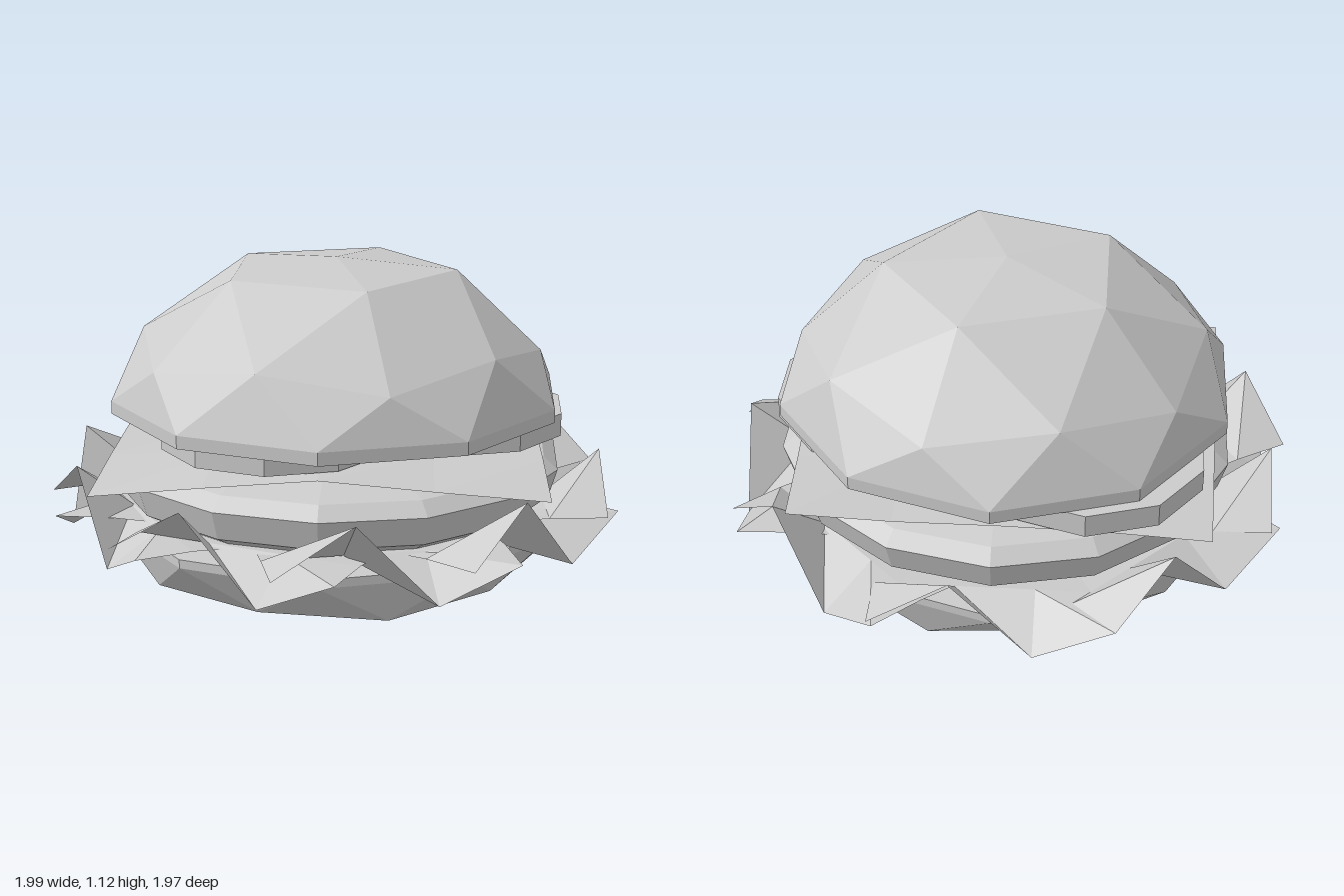
import * as THREE from 'three';
import { ConvexGeometry } from 'three/addons/geometries/ConvexGeometry.js';

const grey = new THREE.MeshStandardMaterial({ color: 0xcccccc, flatShading: true });
const greySheet = new THREE.MeshStandardMaterial({ color: 0xcccccc, flatShading: true, side: THREE.DoubleSide });
const DEG = Math.PI / 180;
const BUN_Z = -0.04;

function add(group, name, geometry, material = grey) {
  const mesh = new THREE.Mesh(geometry, material);
  mesh.name = name;
  group.add(mesh);
  return mesh;
}

// Faceted half dome: pole, two five/ten sided rings, then a ten sided rim with a short wall
function bun(pole, inner, outer, between, rim, edge) {
  const pts = [new THREE.Vector3(0, pole, BUN_Z)];
  const ring = (n, r, y, start) => {
    for (let i = 0; i < n; i++) {
      const a = (start + (i * 360) / n) * DEG;
      pts.push(new THREE.Vector3(r * Math.cos(a), y, BUN_Z + r * Math.sin(a)));
    }
  };
  ring(5, 0.42, inner, 0);
  ring(5, 0.716, outer, 0);
  ring(5, 0.685, between, 36);
  ring(10, 0.8, rim, 18);
  ring(10, 0.8, edge, 18);
  return new ConvexGeometry(pts);
}

// Leaf between two outer corners: its outer edge folds up then down, its inside lies flat
function leaf(x0, z0, x1, z1) {
  const edge = [0.29, 0.455, 0.17, 0.29];
  const rows = [[0, 0], [0.2, 0.288], [0.5, 0.262], [0.8, 0.245]]; // depth, height
  const length = Math.hypot(x1 - x0, z1 - z0);
  const inX = (z1 - z0) / length, inZ = -(x1 - x0) / length;
  const g = new THREE.PlaneGeometry(1, 1, 3, 3);
  const p = g.attributes.position;
  for (let i = 0; i < p.count; i++) {
    const col = i % 4, row = Math.floor(i / 4), t = col / 3;
    const [depth, height] = rows[row];
    p.setXYZ(i,
      x0 + (x1 - x0) * t + inX * depth,
      row === 0 ? edge[col] : height,
      z0 + (z1 - z0) * t + inZ * depth);
  }
  g.computeVertexNormals();
  return g;
}

// Thin square sheet whose corners bend to their own heights
function cheese() {
  const g = new THREE.PlaneGeometry(2, 2, 4, 4).rotateX(-Math.PI / 2);
  const corners = [ // x, z, y, sign of x, sign of z
    [-0.71, -0.73, 0.485, -1, -1], [0.67, -0.75, 0.54, 1, -1],
    [0.74, 0.64, 0.465, 1, 1], [-0.76, 0.65, 0.45, -1, 1],
  ];
  const p = g.attributes.position;
  for (let i = 0; i < p.count; i++) {
    const u = p.getX(i), v = p.getZ(i);
    let x = 0, z = 0, y = 0;
    for (const [cx, cz, cy, su, sv] of corners) {
      const w = ((1 + su * u) * (1 + sv * v)) / 4;
      x += w * cx;
      z += w * cz;
      y += w * cy;
    }
    const bend = Math.abs(u * v);
    p.setXYZ(i, x, 0.52 * (1 - bend) + y * bend, z);
  }
  g.computeVertexNormals();
  return g;
}

export function createModel() {
  const burger = new THREE.Group();
  burger.name = 'burger';

  add(burger, 'bottomBun', bun(0, 0.015, 0.045, 0.05, 0.195, 0.225));
  add(burger, 'topBun', bun(1.12, 1.08, 0.8, 0.86, 0.65, 0.605));
  add(burger, 'cheese', cheese(), greySheet);

  // Overlapping leaves all the way round
  const lettuce = new THREE.Group();
  lettuce.name = 'lettuce';
  burger.add(lettuce);
  [
    [-0.13, 0.96, 0.65, 0.75], [0.5, 0.83, 0.99, 0.19], [0.95, 0.27, 0.89, -0.54],
    [0.93, -0.41, 0.37, -0.99], [0.39, -0.97, -0.41, -0.97], [-0.41, -0.97, -0.96, -0.39],
    [-0.93, -0.42, -0.93, 0.39], [-1, 0.11, -0.58, 0.8], [-0.69, 0.71, 0.07, 0.98],
  ].forEach((ends, i) => add(lettuce, 'leaf' + (i + 1), leaf(...ends), greySheet));

  // Thick patty with bevelled rims
  const profile = [[0, 0.27], [0.68, 0.27], [0.77, 0.32], [0.8, 0.42], [0.75, 0.465], [0.6, 0.5], [0, 0.51]];
  const patty = add(burger, 'patty',
    new THREE.LatheGeometry(profile.map(([x, y]) => new THREE.Vector2(x, y)), 14));
  patty.position.z = -0.03;

  // Three slices lying side by side
  [[0.41, -0.05], [-0.185, 0.22], [-0.3, -0.38]].forEach(([x, z], i) => {
    const slice = add(burger, 'tomatoSlice' + (i + 1), new THREE.CylinderGeometry(0.4, 0.4, 0.08, 10));
    slice.position.set(x, 0.561 + i * 0.001, z);
  });

  return burger;
}
